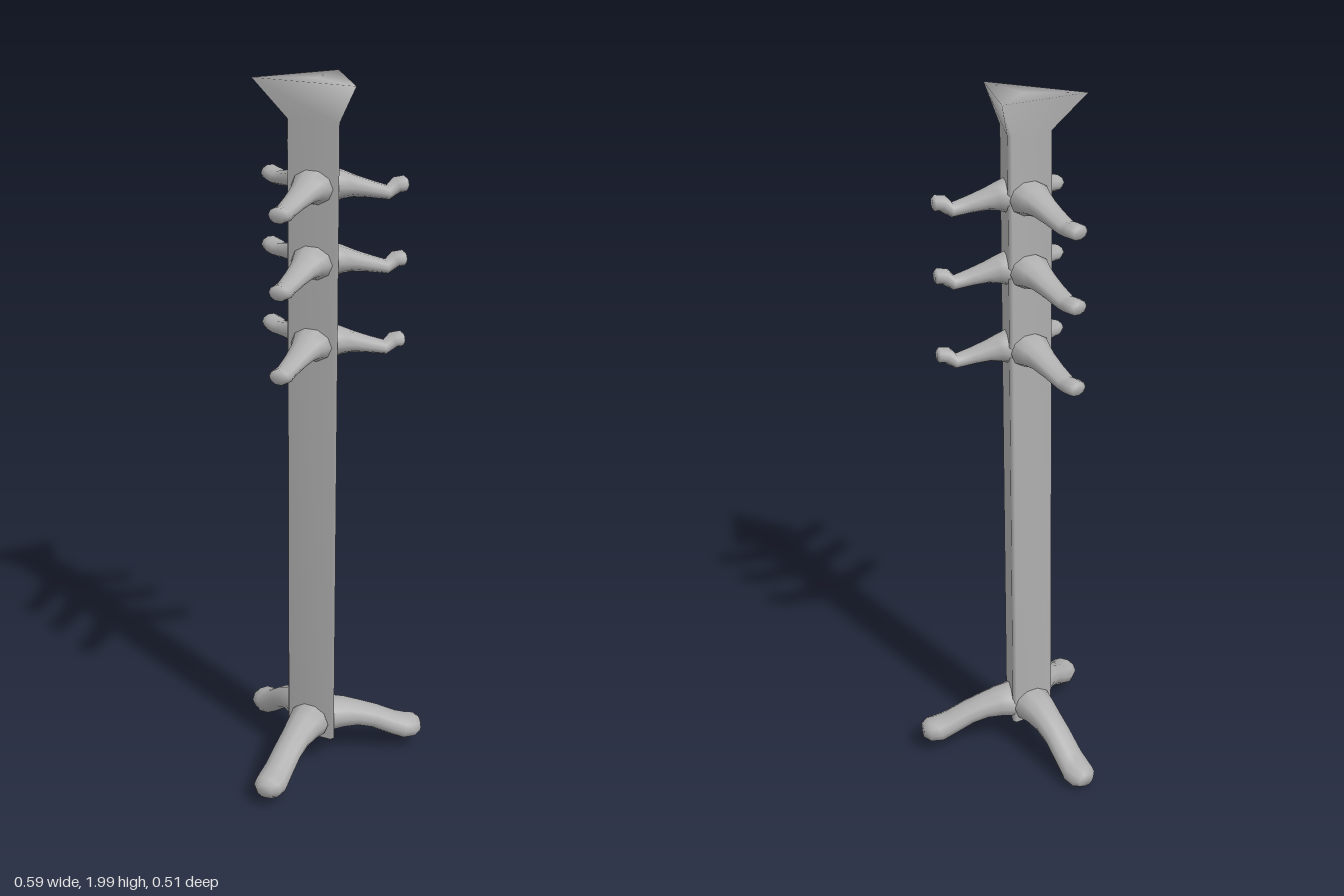
import * as THREE from 'three';
import { mergeVertices } from 'three/addons/utils/BufferGeometryUtils.js';

const material = new THREE.MeshStandardMaterial({ color: 0xb0b0b0 });
const AXIS = new THREE.Vector2(0.007, 0.072); // pole centre in x, z

function smoothMesh(name, positions, index) {
  let g = new THREE.BufferGeometry();
  g.setAttribute('position', new THREE.Float32BufferAttribute(positions, 3));
  g.setIndex(index);
  g = mergeVertices(g, 1e-5);
  g.computeVertexNormals();
  const mesh = new THREE.Mesh(g, material);
  mesh.name = name;
  return mesh;
}

// Triangle (x, z) with its corners cut off by a fraction of each edge
function cutTriangle(corners, cut) {
  return corners.flatMap(([x, z], i) => {
    const toward = (k) => [x + (corners[k][0] - x) * cut, z + (corners[k][1] - z) * cut];
    return [toward((i + 2) % 3), toward((i + 1) % 3)];
  });
}

// Triangular pole that flares into a sharp triangular top
function poleWithFinial() {
  const shaft = cutTriangle([[0.005, 0.159], [0.078, 0.042], [-0.062, 0.014]], 0.08);
  const top = cutTriangle([[0.01, 0.213], [0.137, -0.003], [-0.11, -0.055]], 0);
  const rings = [[0.1, shaft], [1.9, shaft], [2, top]];
  const n = 6, pos = [], index = [];
  rings.forEach(([y, section]) => section.forEach(([x, z]) => pos.push(x, y, z)));
  pos.push(AXIS.x, 0.1, AXIS.y, 0.012, 2, 0.052);
  const bottomCentre = rings.length * n, topCentre = bottomCentre + 1, topRing = (rings.length - 1) * n;
  for (let i = 0; i < n; i++) {
    const j = (i + 1) % n;
    for (let r = 0; r < topRing; r += n) {
      index.push(r + i, r + j, r + n + i, r + j, r + n + j, r + n + i);
    }
    index.push(bottomCentre, j, i, topCentre, topRing + i, topRing + j);
  }
  return smoothMesh('poleWithFinial', pos, index);
}

// Smooth limb of oval rings running from the pole axis to a tip (x, z).
// Each profile row: [fraction of length, height, half width, half thickness]
function limb(name, tipX, tipZ, profile, sides = 10) {
  const dir = new THREE.Vector2(tipX, tipZ).sub(AXIS);
  const length = dir.length();
  dir.normalize();
  const pos = [], index = [];
  profile.forEach(([t, y, w, h], r) => {
    const prev = profile[Math.max(r - 1, 0)], next = profile[Math.min(r + 1, profile.length - 1)];
    const slope = Math.atan2(next[1] - prev[1], (next[0] - prev[0]) * length);
    for (let i = 0; i < sides; i++) {
      const a = (i / sides) * Math.PI * 2;
      const side = Math.cos(a) * w, up = Math.sin(a) * h;
      const along = t * length - up * Math.sin(slope);
      pos.push(AXIS.x + dir.x * along - dir.y * side, y + up * Math.cos(slope), AXIS.y + dir.y * along + dir.x * side);
      if (r > 0) {
        const j = (i + 1) % sides, p = (r - 1) * sides, q = r * sides;
        index.push(p + i, q + i, p + j, p + j, q + i, q + j);
      }
    }
  });
  // close the tip
  const last = (profile.length - 1) * sides, centre = last + sides;
  pos.push(tipX, profile[profile.length - 1][1], tipZ);
  for (let i = 0; i < sides; i++) index.push(last + i, centre, last + ((i + 1) % sides));
  return smoothMesh(name, pos, index);
}

export function createModel() {
  const group = new THREE.Group();
  group.name = 'coatStand';
  group.add(poleWithFinial());

  // Three arched legs with rounded feet; foot is the height of the foot centre
  const legs = [['rightLeg', -0.286, 0.196, 0.07], ['leftLeg', 0.283, 0.223, 0.08], ['backLeg', 0.058, -0.254, 0.046]];
  for (const [name, x, z, foot] of legs) {
    const fall = (f) => foot + (0.147 - foot) * f;
    group.add(limb(name, x, z, [
      [0, 0.15, 0.04, 0.05],
      [0.14, 0.15, 0.062, 0.05],
      [0.26, fall(1), 0.052, 0.045],
      [0.4, fall(0.88), 0.045, 0.037],
      [0.55, fall(0.65), 0.043, 0.034],
      [0.72, fall(0.25), 0.044, 0.034],
      [0.84, fall(0.02), 0.047, 0.037],
      [0.94, foot, 0.042, 0.034],
      [1, foot, 0.024, 0.02],
    ]));
  }

  // Three tiers of three drooping coat arms; lift raises the tip
  const arms = [['rightArm', -0.208, 0.169, -0.005], ['leftArm', 0.215, 0.186, 0.018], ['backArm', 0.067, -0.211, 0.002]];
  [1.73, 1.53, 1.305].forEach((y, tier) => {
    for (const [name, x, z, lift] of arms) {
      const tip = y - 0.025 + lift;
      group.add(limb(name + (tier + 1), x, z, [
        [0, y, 0.04, 0.048],
        [0.16, y, 0.06, 0.046],
        [0.28, y - 0.002, 0.047, 0.036],
        [0.4, y - 0.007, 0.039, 0.028],
        [0.58, y - 0.017, 0.033, 0.022],
        [0.78, y - 0.028, 0.029, 0.019],
        [0.88, tip - 0.002, 0.031, 0.021],
        [0.97, tip, 0.028, 0.021],
        [1, tip, 0.018, 0.013],
      ]));
    }
  });
  return group;
}
